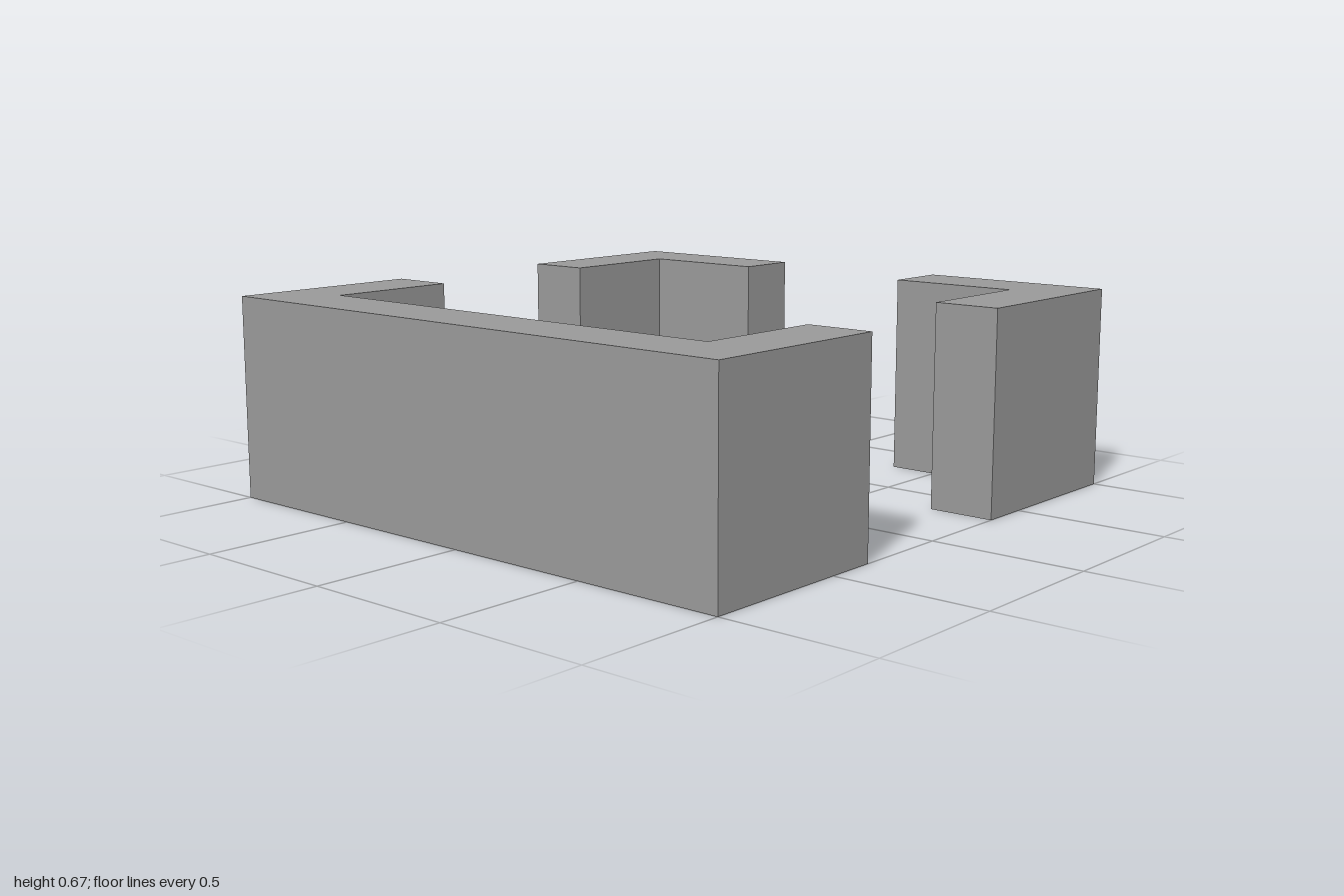
import * as THREE from 'three';

const OUTER = 1;          // half width of the square enclosure
const INNER = 7 / 9;      // inner face of the walls
const GAP = 1 / 3;        // half width of each doorway
const HEIGHT = 2 / 3;

export function createModel() {
  const model = new THREE.Group();
  model.name = 'walledEnclosure';
  const stone = new THREE.MeshStandardMaterial({ color: 0x999999 });
  stone.name = 'grey stone';

  // Raises a wall from its floor plan, given as [x, z] corners
  function addWall(name, plan) {
    const shape = new THREE.Shape(plan.map(([x, z]) => new THREE.Vector2(x, -z)));
    const geometry = new THREE.ExtrudeGeometry(shape, { depth: HEIGHT, bevelEnabled: false });
    geometry.rotateX(-Math.PI / 2);
    const wall = new THREE.Mesh(geometry, stone);
    wall.name = name;
    model.add(wall);
  }

  // Long wall on the right side with a return at each end
  addWall('longWall', [
    [-OUTER, -OUTER], [-GAP, -OUTER], [-GAP, -INNER], [-INNER, -INNER],
    [-INNER, INNER], [-GAP, INNER], [-GAP, OUTER], [-OUTER, OUTER],
  ]);

  // L-shaped corners on the left side, mirrored front to back
  for (const [name, s] of [['frontCornerWall', 1], ['backCornerWall', -1]]) {
    addWall(name, [
      [GAP, s * OUTER], [OUTER, s * OUTER], [OUTER, s * GAP],
      [INNER, s * GAP], [INNER, s * INNER], [GAP, s * INNER],
    ]);
  }
  return model;
}
